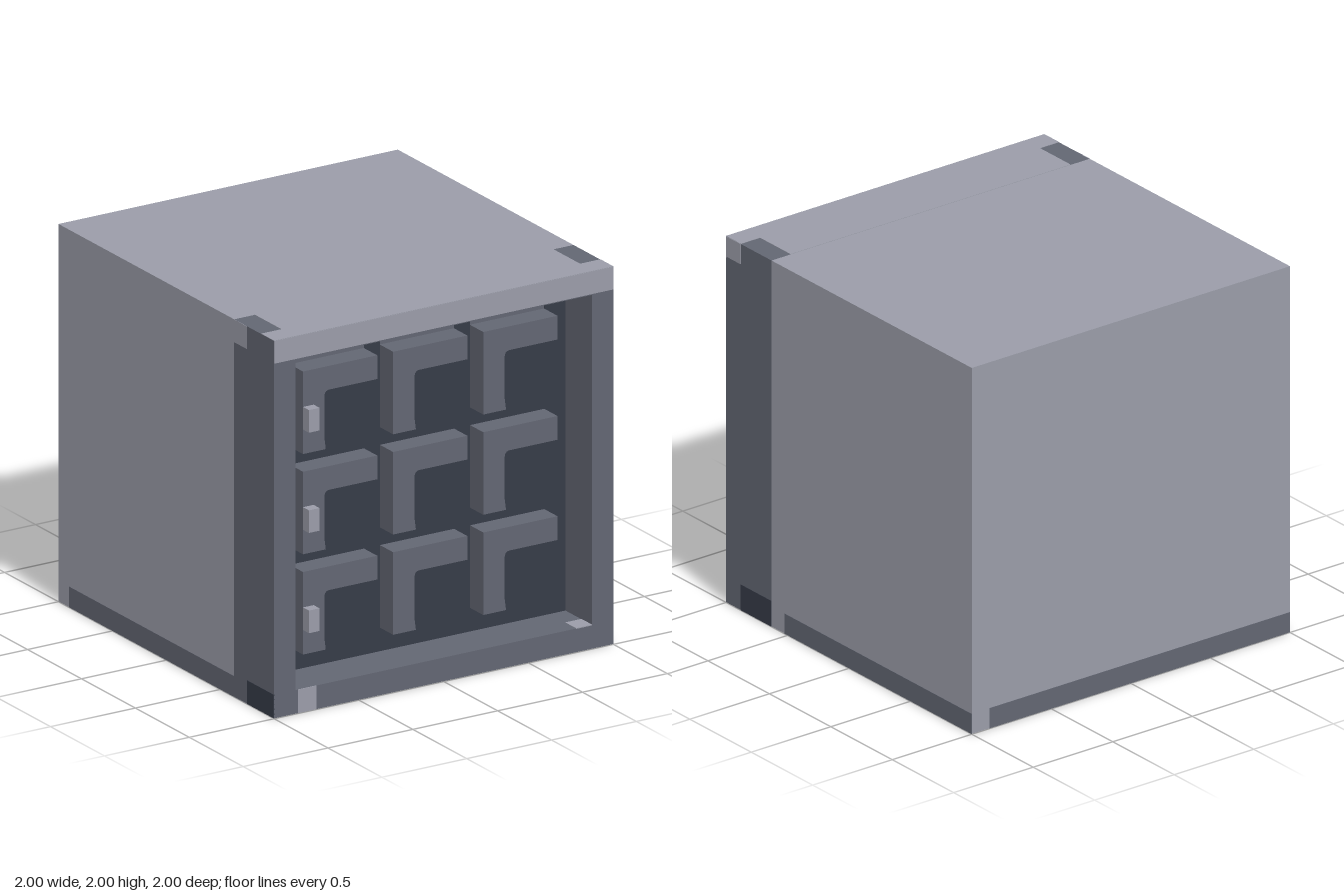
import * as THREE from 'three';

const mat = (name, color) => new THREE.MeshStandardMaterial({ name, color });

export function createModel() {
  const model = new THREE.Group();
  model.name = 'storageCube';
  const light = mat('lightGrey', 0x9a9ca8);
  const mid = mat('slateGrey', 0x626672);
  const dark = mat('darkSlate', 0x363b47);

  // Box given by its lower and upper limits on each axis
  const box = (name, m, [x0, x1], [y0, y1], [z0, z1]) => {
    const mesh = new THREE.Mesh(new THREE.BoxGeometry(x1 - x0, y1 - y0, z1 - z0), m);
    mesh.position.set((x0 + x1) / 2, (y0 + y1) / 2, (z0 + z1) / 2);
    mesh.name = name;
    model.add(mesh);
  };
  // Painted plate lying on a surface at a given level
  const T = 0.002;
  const at = (v) => [v - T, v + T];
  const plateX = (name, m, x, z, y) => box(name, m, at(x), y, z);
  const plateY = (name, m, y, x, z) => box(name, m, x, at(y), z);
  const plateZ = (name, m, z, x, y) => box(name, m, x, y, at(z));

  // Cabinet body and the darker collar behind the opening
  box('body', light, [-1, 1], [0, 2], [-1, 0.63]);
  box('collar', mid, [-1, 1], [0, 2], [0.63, 0.75]);

  // Front frame with a square opening
  const outline = new THREE.Shape([[-1, 0], [1, 0], [1, 2], [-1, 2]].map((p) => new THREE.Vector2(...p)));
  const e = 0.875;
  outline.holes.push(new THREE.Path(
    [[-e, 0.125], [-e, 1.875], [e, 1.875], [e, 0.125]].map((p) => new THREE.Vector2(...p))));
  const frame = new THREE.Mesh(
    new THREE.ExtrudeGeometry(outline, { depth: 0.25, bevelEnabled: false }), mid);
  frame.position.z = 0.75;
  frame.name = 'frontFrame';
  model.add(frame);

  // Painted areas on the outside
  plateZ('frontTopBand', light, 1, [-1, 1], [1.88, 2]);
  plateZ('frontMark', light, 1, [-0.86, -0.75], [0, 0.125]);
  plateY('topFront', light, 2, [-0.88, 0.88], [0.63, 1]);
  for (const s of [-1, 1]) {
    const side = (a, b) => (s > 0 ? [a, b] : [-b, -a]);
    plateY('topCorner', light, 2, side(0.88, 1), [0.88, 1]);
    plateY('bottomCorner', light, 0, side(s > 0 ? 0.78 : 0.87, 1), [0.63, 0.75]);
  }
  plateX('leftTopMark', light, 1, [0.88, 1], [1.89, 2]);
  plateX('leftFootMark', dark, 1, [0.63, 0.88], [0, 0.14]);
  plateX('leftSkirting', mid, 1, [-1, 0.52], [0, 0.11]);
  plateX('rightTopMark', light, -1, [0.63, 0.75], [1.88, 2]);
  plateX('rightFootMark', dark, -1, [0.75, 1], [0, 0.125]);
  plateX('rightSkirting', mid, -1, [-0.9, 0.63], [0, 0.11]);
  plateZ('backSkirting', mid, -1, [-1, 0.89], [0, 0.11]);
  plateY('sillMark', light, 0.125, [0.78, 0.875], [0.9, 1]);

  // Dark patch with a rounded upper corner, shared by all compartments
  const patch = new THREE.Shape();
  patch.moveTo(0.008, 0);
  patch.lineTo(0.3125, 0);
  patch.lineTo(0.3125, 0.3125);
  patch.lineTo(0.03, 0.3125);
  patch.quadraticCurveTo(0, 0.3125, 0, 0.28);
  patch.lineTo(0, 0.06);
  const patchGeometry = new THREE.ShapeGeometry(patch);

  // Three by three blocks, with dark gaps below and beside them
  const size = 0.4375, pitch = 0.53125;
  for (let i = 0; i < 3; i++) {
    const gx = -0.75 + i * pitch, gy = 0.25 + i * pitch;
    plateZ('verticalGap', dark, 0.75,
      [gx + size, i < 2 ? gx + pitch : e], [0.125, 1.77]);
    for (let k = 0; k < 3; k++) {
      const x0 = k === 0 ? -0.77 : -0.75 + k * pitch;
      plateZ('horizontalGap', dark, 0.75,
        [x0, -0.75 + k * pitch + size], [i ? gy - pitch + size : 0.125, gy]);
      const y = 0.25 + k * pitch;
      box('block', mid, [gx, gx + size], [y, y + size], [0.75, 0.875]);
      const face = new THREE.Mesh(patchGeometry, dark);
      face.position.set(gx + 0.125, y, 0.877);
      face.name = 'blockFace';
      model.add(face);
    }
    // Small handles on the first column
    box('handle', light, [-0.75, -0.6875], [gy + 0.13, gy + 0.25], [0.875, 0.93]);
  }
  return model;
}
